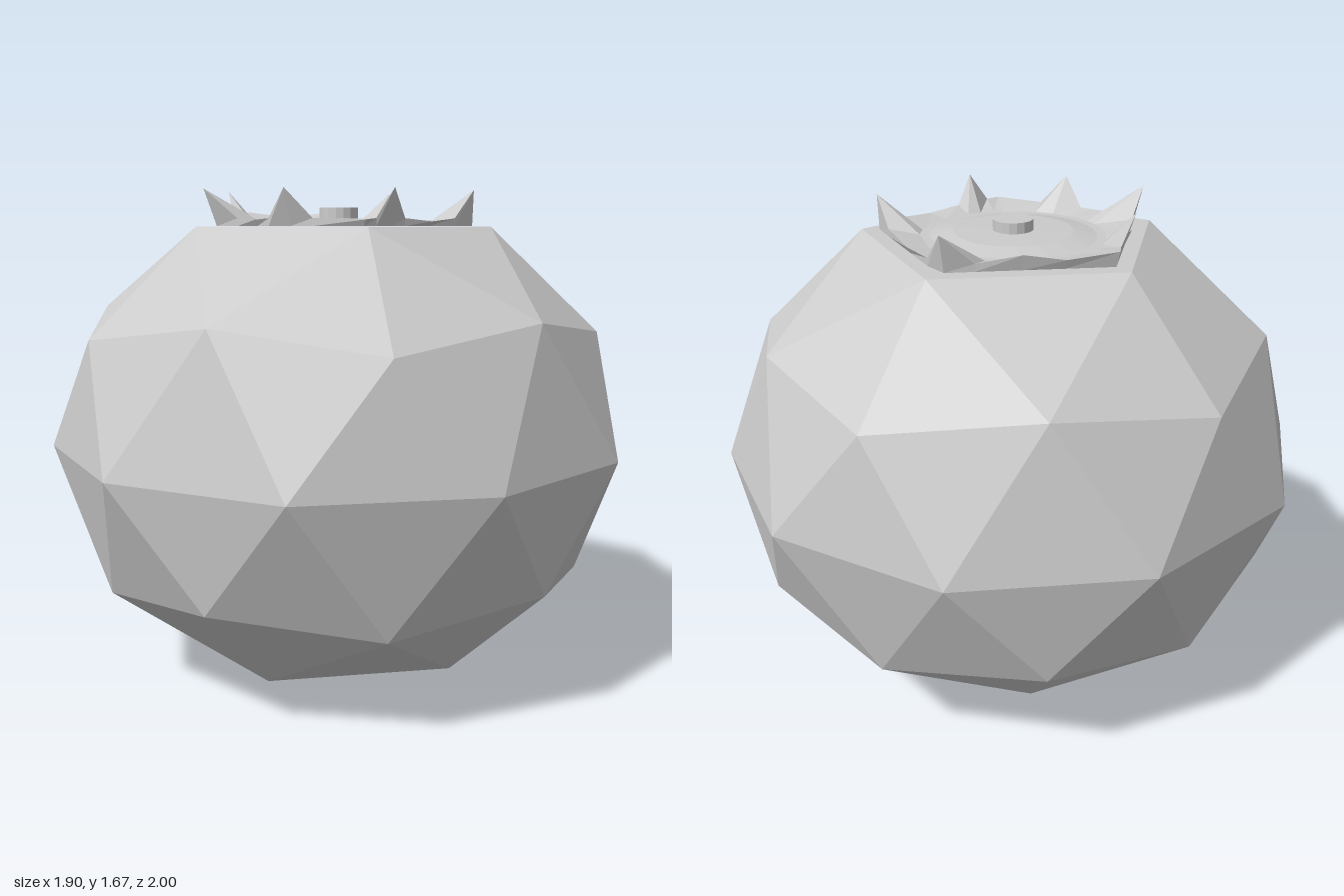
import * as THREE from 'three';
import { ConvexGeometry } from 'three/addons/geometries/ConvexGeometry.js';

const deg = Math.PI / 180;
const polar = (a, r, y) => new THREE.Vector3(r * Math.cos(a * deg), y, r * Math.sin(a * deg));

function material(side = THREE.FrontSide) {
  return new THREE.MeshStandardMaterial({ color: 0xcccccc, flatShading: true, side });
}

function ring(count, start, r, y) {
  return Array.from({ length: count }, (_, i) => polar(start + (i * 360) / count, r, y));
}

// Faceted fruit: stacked rings of a subdivided icosahedron, cut flat at the top
function makeFruit() {
  const points = [
    ...ring(5, 0, 0.525, 1.553),
    ...ring(5, 36, 0.851, 1.27),
    ...ring(5, 0, 0.894, 1.2),
    ...ring(10, 18, 1, 0.81),
    ...ring(5, 36, 0.894, 0.424),
    ...ring(5, 0, 0.851, 0.356),
    ...ring(5, 36, 0.525, 0.075),
    new THREE.Vector3(0, 0, 0),
  ];
  const mesh = new THREE.Mesh(new ConvexGeometry(points), material());
  mesh.name = 'fruitBody';
  return mesh;
}

// Radius of the inset pentagon at a given angle
const pentagon = (a) => 0.385 / Math.cos(((((a % 72) + 72) % 72) - 36) * deg);

// Crown rim as [angle, height, radius factor]: pointed sepals joined by a low wall
function crownRim() {
  const tips = [[0, 0.465, 11], [57, 0.42, 9], [106, 0.418, 12], [143, 0.5, 9], [191, 0.418, 10], [286, 0.475, 11]];
  const rim = [];
  for (const [a, r, half] of tips) {
    rim.push({ a: a - half, r: pentagon(a - half) * 0.97, y: 1.58 });
    rim.push({ a, r, y: 1.675 });
    rim.push({ a: a + half, r: pentagon(a + half) * 0.97, y: 1.58 });
  }
  // Low stretches of wall between the sepals
  for (const [a, y] of [[30, 1.57], [72, 1.575], [124, 1.575], [167, 1.575], [216, 1.605], [235, 1.585], [254, 1.605], [318, 1.575]]) {
    rim.push({ a, r: pentagon(a), y });
  }
  return rim.sort((p, q) => p.a - q.a);
}

// Loft closed loops of equal length, from the outside base to the centre
function loft(loops) {
  const n = loops[0].length;
  const index = [];
  for (let k = 0; k < loops.length - 1; k++) {
    for (let i = 0; i < n; i++) {
      const a = k * n + i;
      const b = k * n + ((i + 1) % n);
      index.push(a, a + n, b, b, a + n, b + n);
    }
  }
  const geometry = new THREE.BufferGeometry().setFromPoints(loops.flat());
  geometry.setIndex(index);
  const flat = geometry.toNonIndexed();
  flat.computeVertexNormals();
  return flat;
}

function makeCrown() {
  const rim = crownRim();
  const circle = (r, y) => rim.map((p) => polar(p.a, r, y));
  const loops = [
    rim.map((p) => polar(p.a, pentagon(p.a) * 0.97, 1.555)),
    rim.map((p) => polar(p.a, p.r, p.y)),
    circle(0.31, 1.562),
    circle(0.28, 1.562),
    circle(0.2, 1.578),
    circle(0.01, 1.582),
  ];
  const mesh = new THREE.Mesh(loft(loops), material(THREE.DoubleSide));
  mesh.name = 'crown';
  return mesh;
}

// Small round stub in the middle of the crown
function makeStub() {
  const mesh = new THREE.Mesh(new THREE.CylinderGeometry(0.068, 0.068, 0.05, 16), material());
  mesh.position.y = 1.592;
  mesh.name = 'centreStub';
  return mesh;
}

export function createModel() {
  const model = new THREE.Group();
  model.name = 'fruit';
  model.add(makeFruit(), makeCrown(), makeStub());
  return model;
}
